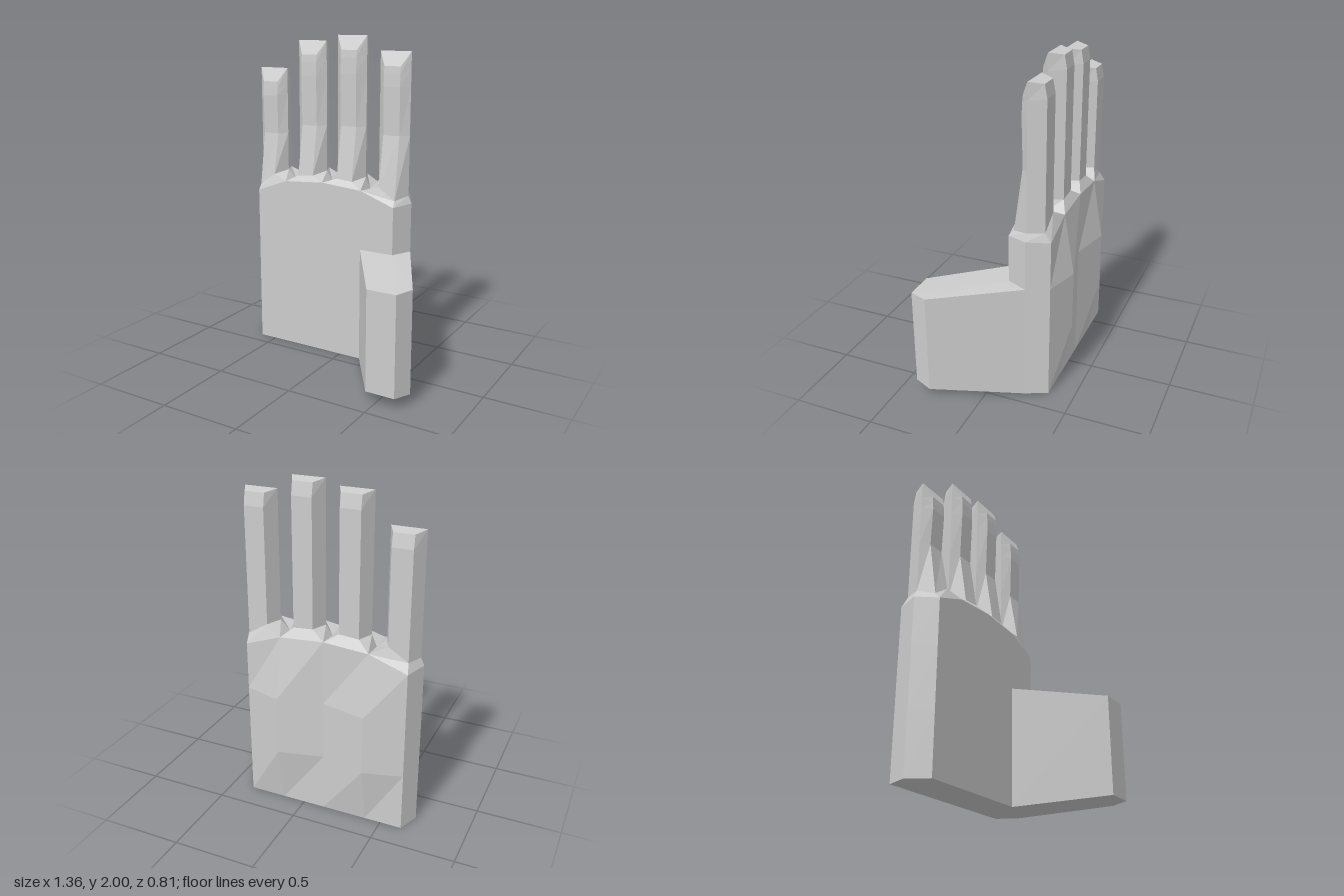
import * as THREE from 'three';

const skin = new THREE.MeshStandardMaterial({ color: 0xcccccc });
skin.name = 'plain grey';

// Flat-shaded mesh from a list of polygons (each a fan around its first corner)
function facetMesh(name, polygons) {
  const pos = [];
  for (const p of polygons)
    for (let i = 1; i < p.length - 1; i++) pos.push(...p[0], ...p[i], ...p[i + 1]);
  const geo = new THREE.BufferGeometry();
  geo.setAttribute('position', new THREE.Float32BufferAttribute(pos, 3));
  geo.computeVertexNormals(); // unshared corners give flat facets
  const mesh = new THREE.Mesh(geo, skin);
  mesh.name = name;
  return mesh;
}

// Quads joining closed rings from bottom to top; skip(row, side) leaves a gap
function loft(rings, skip = () => false) {
  const quads = [];
  for (let r = 0; r < rings.length - 1; r++) {
    const a = rings[r], b = rings[r + 1], n = a.length;
    for (let i = 0; i < n; i++) {
      const j = (i + 1) % n;
      if (!skip(r, i)) quads.push([a[i], a[j], b[j], b[i]]);
    }
  }
  return quads;
}

// Palm outline columns: outer edges and the three valleys between fingers
const FRONT_X = [-0.61, -0.40, -0.13, 0.14, 0.36];
const BACK_X = [-0.63, -0.40, -0.13, 0.14, 0.36];
const TOP_Y = [1.01, 1.09, 1.11, 1.09, 1.01];
const FRONT_Z = -0.09, MID_Z = -0.215, BACK_Z = -0.345;
const LEFT_X = 0.42, RIGHT_X = -0.68;

// Twelve-sided palm ring: front, left edge, knuckled back, right edge
function palmRing(y, bulge) {
  const h = (i) => (y === null ? TOP_Y[i] : y);
  const side = y === null ? 1.02 : y;
  const front = FRONT_X.map((x, i) => [x, h(i), FRONT_Z]);
  const back = BACK_X.map((x, i) => [x, h(i), BACK_Z - (i % 2 ? bulge : 0)]);
  return [...front, [LEFT_X, side, MID_Z], ...back.reverse(), [RIGHT_X, side, MID_Z]];
}

function makePalm() {
  const rings = [palmRing(0, 0), palmRing(0.36, 0.063), palmRing(0.72, 0.063), palmRing(null, 0)];
  // the thumb root opens from the lower front corner
  const faces = loft(rings, (r, i) => r < 2 && (i === 3 || i === 4));
  faces.push([...rings[0]].reverse());
  return { mesh: facetMesh('palm', faces), top: rings[3] };
}

// Six-sided finger ring: front pair, left edge, back pair, right edge
function fingerRing(x, y, frontZ, backZ = -0.31) {
  const [fy, my, by] = y;
  const f = 0.053, m = 0.1, b = 0.06;
  return [
    [x - f, fy, frontZ], [x + f, fy, frontZ], [x + m, my, MID_Z],
    [x + b, by, backZ], [x - b, by, backZ], [x - m, my, MID_Z],
  ];
}

function makeFinger({ name, x, top, base }, i, palmTop) {
  // collar root on the palm edge, dipping in the valleys
  const valley = (k) => [FRONT_X[k], TOP_Y[k] - 0.01, MID_Z];
  const root = [
    palmTop[i], palmTop[i + 1], i === 3 ? palmTop[5] : valley(i + 1),
    palmTop[9 - i], palmTop[10 - i], i === 0 ? palmTop[11] : valley(i),
  ];
  // sloping base where the finger leaves the collar
  const foot = fingerRing(x, [0, 0, 0], -0.12);
  foot.forEach((p, k) => {
    const left = k >= 1 && k <= 3;
    p[1] = base[left ? 1 : 0] + (k < 2 ? -0.01 : 0.01);
  });
  const at = (t) => { const y = 1.1 + (top - 1.1) * t; return [y, y, y]; };
  const tip = fingerRing(x, [top - 0.085, top, top - 0.012], -0.172, -0.295);
  const faces = loft([
    root, foot,
    fingerRing(x, at(0.4), -0.172),
    fingerRing(x, at(0.75), -0.165),
    fingerRing(x, [top - 0.13, top - 0.1, top - 0.09], -0.168),
    tip,
  ]);
  // fingertip: sloping front pad and flat top
  const [fl, fr, mr, br, bl, ml] = tip;
  faces.push([fl, fr, mr, ml], [ml, mr, br, bl]);
  return facetMesh(name, faces);
}

// Thumb: tapering block reaching forward and outward
function makeThumb() {
  const plan = [ // x, z, bottom, top
    [0.36, -0.09, 0, 0.72], [0.42, -0.215, 0, 0.72], [0.675, 0.29, 0.063, 0.68],
    [0.63, 0.40, 0.07, 0.675], [0.45, 0.40, 0.07, 0.675], [0.14, -0.09, 0, 0.72],
  ];
  const low = plan.map(([x, z, b]) => [x, b, z]);
  const high = plan.map(([x, z, , t]) => [x, t, z]);
  const faces = [];
  // plan runs clockwise seen from below, so walls go backwards along it
  for (let i = 1; i < 5; i++) faces.push([low[i + 1], low[i], high[i], high[i + 1]]);
  for (let i = 1; i < 5; i++) {
    faces.push([high[0], high[i + 1], high[i]]);
    faces.push([low[0], low[i], low[i + 1]]);
  }
  return facetMesh('thumb', faces);
}

export function createModel() {
  const hand = new THREE.Group();
  hand.name = 'hand';
  const palm = makePalm();
  hand.add(palm.mesh, makeThumb());
  const fingers = [
    { name: 'littleFinger', x: -0.56, top: 1.79, base: [1.055, 1.13] },
    { name: 'ringFinger', x: -0.27, top: 1.965, base: [1.14, 1.15] },
    { name: 'middleFinger', x: 0.01, top: 2.0, base: [1.15, 1.14] },
    { name: 'indexFinger', x: 0.30, top: 1.915, base: [1.13, 1.055] },
  ];
  fingers.forEach((f, i) => hand.add(makeFinger(f, i, palm.top)));
  return hand;
}
